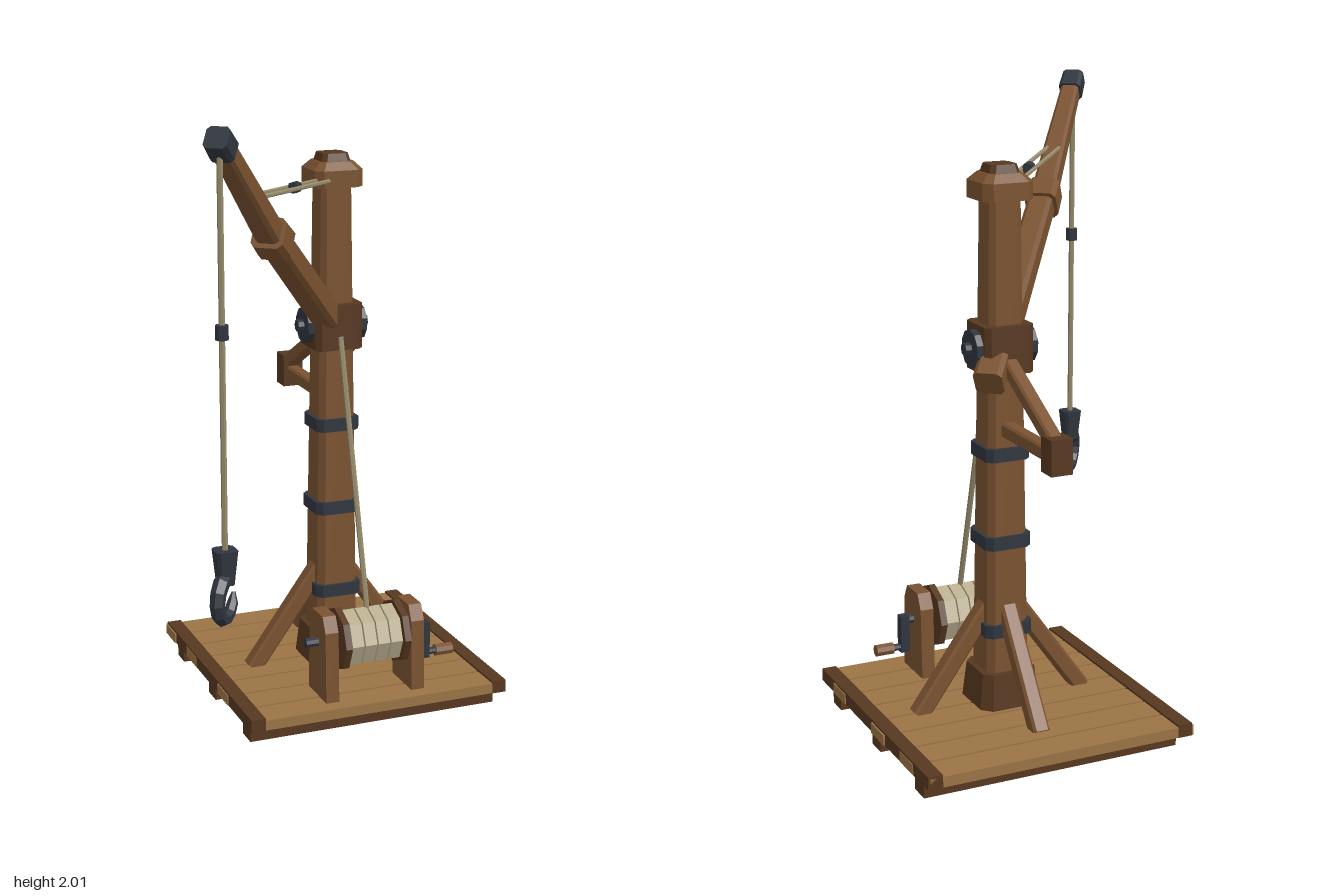
import * as THREE from 'three';

const mat = (name, color) => {
  const m = new THREE.MeshStandardMaterial({ color });
  m.name = name;
  return m;
};
const V = (x, y, z) => new THREE.Vector3(x, y, z);

export function createModel() {
  const wood = mat('oak', 0x7a5230);
  const dark = mat('dark oak', 0x573820);
  const plankMat = mat('deck plank', 0x9b7445);
  const iron = mat('iron', 0x30363f);
  const rope = mat('rope', 0x968a6c);
  const coil = mat('coiled rope', 0xb8ad8e);

  const model = new THREE.Group();
  model.name = 'woodenCrane';

  const group = (name) => {
    const g = new THREE.Group();
    g.name = name;
    model.add(g);
    return g;
  };

  // Every face gets its own normal for the faceted look
  const add = (parent, name, geometry, material) => {
    const flat = geometry.index ? geometry.toNonIndexed() : geometry;
    flat.computeVertexNormals();
    const mesh = new THREE.Mesh(flat, material);
    mesh.name = name;
    parent.add(mesh);
    return mesh;
  };

  // Tapered square timber with chamfered corners, standing on y
  const timberGeometry = (w0, w1, length, chamfer = 0.7) => {
    const g = new THREE.CylinderGeometry(w1 / 2, w0 / 2, length, 8).rotateY(Math.PI / 8);
    const p = g.attributes.position;
    for (let i = 0; i < p.count; i++) {
      const x = p.getX(i), z = p.getZ(i), r = Math.hypot(x, z);
      const wide = Math.abs(x) > Math.abs(z);
      p.setX(i, Math.sign(x) * r * (wide ? 1 : chamfer));
      p.setZ(i, Math.sign(z) * r * (wide ? chamfer : 1));
    }
    return g;
  };

  // Lay a y-aligned mesh between two points, keeping its sides level
  const span = (mesh, a, b) => {
    const y = b.clone().sub(a).normalize();
    const x = Math.abs(y.y) > 0.999 ? V(1, 0, 0) : y.clone().cross(V(0, 1, 0)).normalize();
    const z = x.clone().cross(y);
    mesh.quaternion.setFromRotationMatrix(new THREE.Matrix4().makeBasis(x, y, z));
    mesh.position.copy(a).lerp(b, 0.5);
    return mesh;
  };
  const timber = (parent, name, a, b, w0, w1, m, chamfer) =>
    span(add(parent, name, timberGeometry(w0, w1, a.distanceTo(b), chamfer), m), a, b);
  const rod = (parent, name, a, b, r, m, sides = 8) =>
    span(add(parent, name, new THREE.CylinderGeometry(r, r, a.distanceTo(b), sides), m), a, b);
  const box = (parent, name, w, h, d, x, y, z, m) => {
    const mesh = add(parent, name, new THREE.BoxGeometry(w, h, d), m);
    mesh.position.set(x, y, z);
    return mesh;
  };

  const PX = 0.12, PZ = -0.185;

  // Platform: bearers, planks with uneven ends, side rails
  const platform = group('platform');
  for (const z of [0.165, -0.185, -0.535]) box(platform, 'bearer', 0.86, 0.06, 0.07, PX, 0.03, z, dark);
  for (let i = 0; i < 8; i++) {
    const shift = ((i * 5) % 8 - 3.5) * 0.0018;
    box(platform, 'plank', 0.89, 0.034, 0.105, PX + shift, 0.077, -0.5875 + i * 0.1135, plankMat);
  }
  for (const s of [-1, 1]) box(platform, 'sideRail', 0.048, 0.042, 0.9, PX + s * 0.422, 0.08, -0.19, dark);

  // Mast with foot, collar, cap and bands
  const mast = group('mast');
  const stack = (name, y0, y1, w0, w1, m, c) => timber(mast, name, V(PX, y0, PZ), V(PX, y1, PZ), w0, w1, m, c);
  stack('foot', 0.09, 0.21, 0.205, 0.18, dark);
  stack('post', 0.1, 1.73, 0.146, 0.104, wood);
  stack('collar', 1.18, 1.33, 0.162, 0.162, dark, 0.8);
  stack('cap', 1.71, 1.765, 0.165, 0.165, wood);
  stack('capBevel', 1.765, 1.79, 0.165, 0.115, wood);
  stack('capKnob', 1.79, 1.815, 0.1, 0.085, dark);
  [0.35, 0.64, 0.925].forEach((y, i) => stack('ironBand', y - 0.021, y + 0.021, 0.16 - i * 0.006, 0.16 - i * 0.006, iron, 0.75));
  for (const s of [-1, 1]) {
    rod(mast, 'pivotPlate', V(PX + s * 0.075, 1.255, PZ), V(PX + s * 0.102, 1.255, PZ), 0.06, iron, 10);
    rod(mast, 'pivotPin', V(PX + s * 0.1, 1.255, PZ), V(PX + s * 0.122, 1.255, PZ), 0.02, iron);
  }

  // Three raking braces at the foot
  const braces = group('footBraces');
  for (const [dx, dz] of [[1, 0], [-1, 0], [0, -1]]) {
    timber(braces, 'brace', V(PX + dx * 0.045, 0.42, PZ + dz * 0.045),
      V(PX + dx * 0.285, 0.085, PZ + dz * 0.285), 0.055, 0.055, wood);
  }

  // Rear counterweight arm
  const counter = group('counterweight');
  timber(counter, 'arm', V(PX, 1.003, PZ - 0.04), V(PX, 1.003, -0.56), 0.046, 0.046, wood);
  timber(counter, 'strut', V(PX, 1.23, PZ - 0.03), V(PX, 1.045, -0.56), 0.046, 0.046, wood);
  box(counter, 'weight', 0.07, 0.11, 0.068, PX, 1.01, -0.577, dark);

  // Boom, slightly kinked at the sleeve; "at" gives a point in its plane
  const boom = group('boom');
  const at = (run, y, side = 0) =>
    V(PX - run * 0.645 + side * 0.765, y, PZ + run * 0.765 + side * 0.645);
  const elbow = at(0.555, 1.63), tip = at(0.97, 1.965);
  timber(boom, 'lowerBoom', at(-0.13, 1.166), elbow, 0.09, 0.08, wood);
  timber(boom, 'upperBoom', elbow, tip, 0.078, 0.058, wood);
  const along = elbow.clone().sub(at(0, 1.255)).normalize();
  timber(boom, 'sleeve', elbow.clone().addScaledVector(along, -0.04),
    elbow.clone().addScaledVector(along, 0.04), 0.106, 0.1, wood);
  const up = tip.clone().sub(elbow).normalize();
  timber(boom, 'ironTip', tip.clone().addScaledVector(up, -0.045),
    tip.clone().addScaledVector(up, 0.025), 0.074, 0.07, iron);

  // Stay ropes from cap to boom
  const stays = group('stays');
  for (const s of [-0.02, 0.02]) rod(stays, 'stayRope', at(0.06, 1.732, s), at(0.715, 1.777, s), 0.007, rope, 6);
  rod(stays, 'stayClamp', at(0.335, 1.751), at(0.375, 1.754), 0.018, iron);

  // Hanging rope and hook
  const hoist = group('hoist');
  const drop = (y) => V(tip.x, y, tip.z);
  rod(hoist, 'loadRope', drop(0.76), drop(1.95), 0.009, rope, 6);
  rod(hoist, 'ropeClamp', drop(1.415), drop(1.457), 0.02, iron);
  timber(hoist, 'hookShank', drop(0.69), drop(0.795), 0.046, 0.066, iron);
  const ARC = Math.PI * 1.5, R = 0.064;
  const hookGeometry = new THREE.TorusGeometry(R, 0.026, 6, 9, ARC);
  const hp = hookGeometry.attributes.position;
  for (let i = 0; i < hp.count; i++) {
    // thin the ring towards its point
    const k = Math.floor(i % 10) / 9, a = k * ARC;
    const t = k > 0.95 ? 0.2 : 1 - 0.4 * k;
    const cx = Math.cos(a) * R, cy = Math.sin(a) * R;
    hp.setXYZ(i, cx + (hp.getX(i) - cx) * t, cy + (hp.getY(i) - cy) * t, hp.getZ(i) * t);
  }
  hookGeometry.rotateZ(Math.PI / 2);
  const hook = add(hoist, 'hook', hookGeometry, iron);
  hook.position.copy(drop(0.645));
  hook.rotation.y = Math.atan2(0.765, 0.645);

  // Winch: cheeks, drum, axle and crank
  const winch = group('winch');
  const WY = 0.28, WZ = 0.13;
  const cheek = new THREE.Shape([[-0.079, 0.09], [0.079, 0.09], [0.07, 0.33], [0.045, 0.38], [-0.045, 0.38], [-0.07, 0.33]]
    .map(([x, y]) => new THREE.Vector2(x, y)));
  const across = (name, x0, x1, r, m, sides) => rod(winch, name, V(x0, WY, WZ), V(x1, WY, WZ), r, m, sides);
  for (const s of [-1, 1]) {
    const g = new THREE.ExtrudeGeometry(cheek, { depth: 0.045, bevelEnabled: false });
    g.translate(0, 0, -0.0225).rotateY(-Math.PI / 2);
    add(winch, 'cheek', g, wood).position.set(PX + s * 0.15, 0, WZ);
    across('flange', PX + s * 0.092, PX + s * 0.114, 0.107, dark, 8);
  }
  across('drumCore', PX - 0.1, PX + 0.1, 0.078, coil, 8);
  for (let i = 0; i < 4; i++) {
    const x = PX + (i - 1.5) * 0.045;
    across('ropeCoil', x - 0.02, x + 0.02, 0.096, coil, 8);
  }
  across('axle', -0.095, 0.34, 0.016, iron);
  box(winch, 'crankArm', 0.03, 0.125, 0.032, 0.325, 0.233, WZ, iron);
  rod(winch, 'crankPin', V(0.33, 0.187, WZ), V(0.375, 0.187, WZ), 0.012, iron);
  rod(winch, 'crankGrip', V(0.365, 0.187, WZ), V(0.425, 0.187, WZ), 0.02, wood);
  rod(winch, 'winchRope', V(PX, 0.35, WZ + 0.005), V(PX, 1.225, -0.105), 0.009, rope, 6);

  return model;
}
